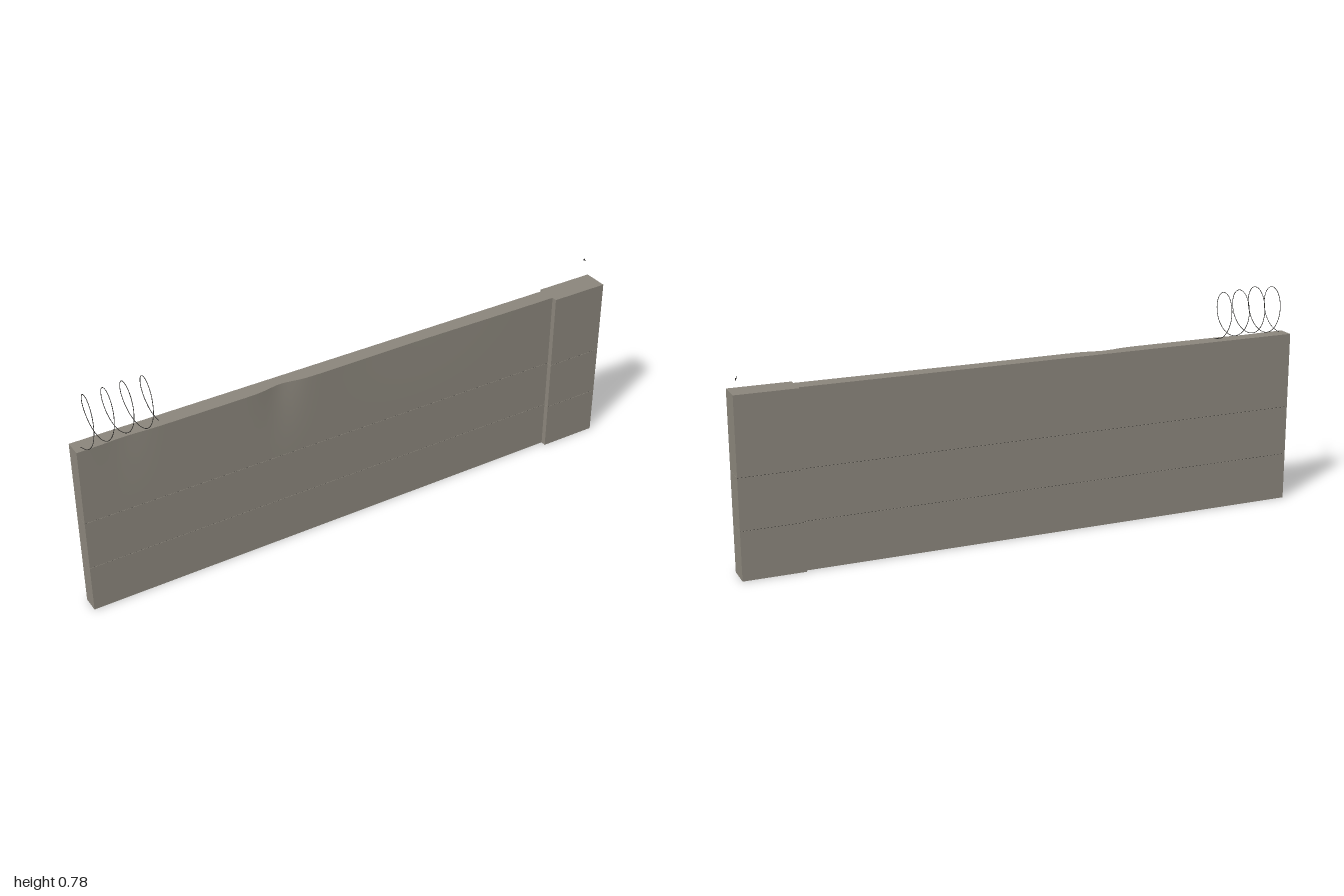
import * as THREE from 'three';

const concrete = new THREE.MeshStandardMaterial({ color: 0x8a857b });
concrete.name = 'concrete';
const darkWire = new THREE.MeshStandardMaterial({ color: 0x2b2a28 });
darkWire.name = 'darkWire';

const TOP = 0.61;
const courses = [[0, 0.167], [0.168, 0.343], [0.344, TOP]];

function addBox(group, name, material, x, y, z, segments = [1, 1, 1]) {
  const geometry = new THREE.BoxGeometry(x[1] - x[0], y[1] - y[0], z[1] - z[0], ...segments);
  geometry.translate((x[0] + x[1]) / 2, (y[0] + y[1]) / 2, (z[0] + z[1]) / 2);
  const mesh = new THREE.Mesh(geometry, material);
  mesh.name = name;
  group.add(mesh);
  return mesh;
}

// How far the front top edge is worn back at x
function wear(x) {
  const bump = (centre, width, depth) => depth * Math.exp(-(((x - centre) / width) ** 2));
  return bump(-0.29, 0.06, 0.014) + bump(-0.84, 0.07, 0.005) + bump(0.2, 0.3, 0.004);
}

function addWire(group, name, points, segments, radius) {
  const curve = new THREE.CatmullRomCurve3(points);
  const mesh = new THREE.Mesh(new THREE.TubeGeometry(curve, segments, radius, 5), darkWire);
  mesh.name = name;
  group.add(mesh);
}

export function createModel() {
  const model = new THREE.Group();
  model.name = 'concreteFenceSection';

  // Wall and end post, each in three stacked courses
  for (const [bottom, top] of courses) {
    const panel = addBox(model, 'wallPanel', concrete, [-1, 0.79], [bottom, top], [-0.035, 0.023], [72, 6, 1]);
    if (top === TOP) {
      const position = panel.geometry.attributes.position;
      for (let i = 0; i < position.count; i++) {
        if (position.getZ(i) < 0) continue;
        const rise = (position.getY(i) - bottom) / (top - bottom);
        position.setZ(i, position.getZ(i) - wear(position.getX(i)) * rise ** 2);
      }
      panel.geometry.computeVertexNormals();
    }
    addBox(model, 'postBlock', concrete, [0.79, 1], [bottom, top], [-0.046, 0.042]);
  }

  // Dark joint filling between the courses
  for (let i = 0; i < 2; i++) {
    const gap = [courses[i][1], courses[i + 1][0]];
    addBox(model, 'wallJoint', darkWire, [-0.999, 0.79], gap, [-0.034, 0.022]);
    addBox(model, 'postJoint', darkWire, [0.791, 0.999], gap, [-0.045, 0.041]);
  }

  // Uneven coil of wire on top of the wall
  const coil = [];
  const turns = 4, steps = 12 * turns;
  for (let i = 0; i <= steps; i++) {
    const t = (i / steps) * turns * Math.PI * 2;
    const r = 0.079 + 0.004 * Math.sin(t * 0.77 + 1) + 0.002 * Math.sin(t * 2.3);
    const y = i === 0 ? TOP : 0.697 - r * Math.cos(t);
    coil.push(new THREE.Vector3(-0.977 + 0.262 * i / steps, y, r * Math.sin(t)));
  }
  addWire(model, 'wireCoil', coil, 200, 0.0011);

  // Small loose scrap of wire by the post
  addWire(model, 'wireScrap', [
    new THREE.Vector3(0.986, 0.67, -0.048),
    new THREE.Vector3(0.989, 0.664, -0.056),
    new THREE.Vector3(0.992, 0.668, -0.062),
    new THREE.Vector3(0.993, 0.66, -0.066),
  ], 10, 0.0011);

  return model;
}
